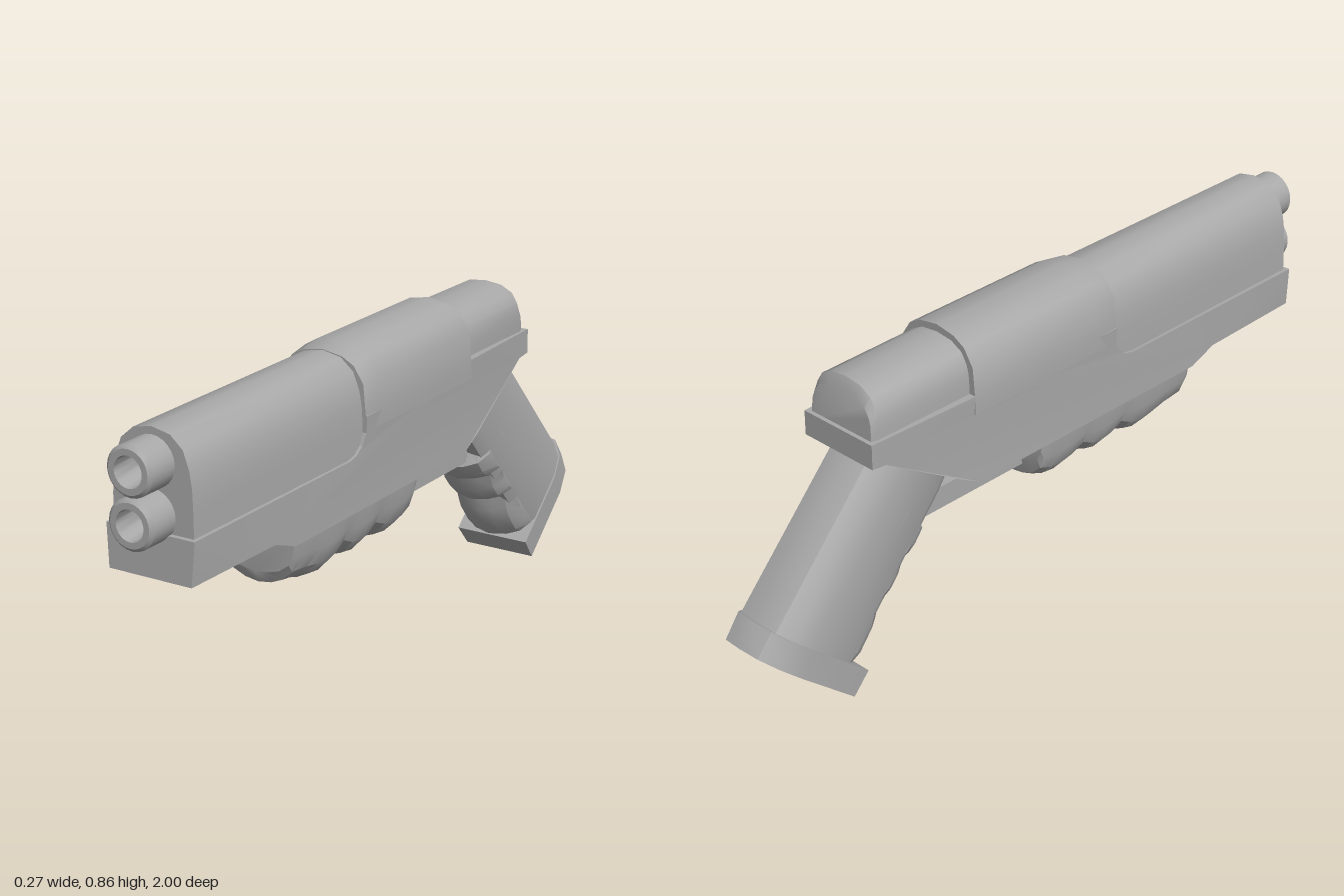
import * as THREE from 'three';
import { toCreasedNormals } from 'three/addons/utils/BufferGeometryUtils.js';

const grey = new THREE.MeshStandardMaterial({ color: 0xa8a8a8 });
grey.name = 'grey';

function part(name, geometry, crease = 0.6) {
  const mesh = new THREE.Mesh(toCreasedNormals(geometry, crease), grey);
  mesh.name = name;
  return mesh;
}

// Skin a mirrored outline through stations.
// Station: [z0, y0, z1, y1, halfWidth]; outline point: [share of width, share of the way from 0 to 1].
function loft(stations, half) {
  const mirrored = half.filter(([k]) => k > 0).reverse().map(([k, t]) => [-k, t]);
  const outline = [...half, ...mirrored];
  const rings = stations.map(([z0, y0, z1, y1, w]) =>
    outline.map(([k, t]) => [k * w, y0 + (y1 - y0) * t, z0 + (z1 - z0) * t]));
  const n = outline.length;
  const tris = [];
  for (let s = 0; s < rings.length - 1; s++) {
    for (let i = 0; i < n; i++) {
      const j = (i + 1) % n;
      const a = rings[s][i], b = rings[s][j], c = rings[s + 1][j], d = rings[s + 1][i];
      tris.push([a, b, c], [a, c, d]);
    }
  }
  const first = rings[0], last = rings[rings.length - 1];
  for (let i = 1; i < n - 1; i++) {
    tris.push([first[0], first[i + 1], first[i]], [last[0], last[i], last[i + 1]]);
  }
  // Turn the corners round if the solid came out inside out
  let volume = 0;
  for (const [a, b, c] of tris) {
    volume += a[0] * (b[1] * c[2] - b[2] * c[1])
      + a[1] * (b[2] * c[0] - b[0] * c[2])
      + a[2] * (b[0] * c[1] - b[1] * c[0]);
  }
  if (volume < 0) tris.forEach((t) => t.reverse());
  const geometry = new THREE.BufferGeometry();
  geometry.setAttribute('position', new THREE.Float32BufferAttribute(tris.flat(2), 3));
  return geometry;
}

// Side profile in (z, y), given thickness along x by a width rule
function sideExtrude(profile, widthAt) {
  const shape = new THREE.Shape(profile.map(([z, y]) => new THREE.Vector2(z, y)));
  const geometry = new THREE.ExtrudeGeometry(shape, { depth: 2, bevelEnabled: false });
  geometry.translate(0, 0, -1).rotateY(-Math.PI / 2);
  const p = geometry.attributes.position;
  for (let i = 0; i < p.count; i++) {
    p.setX(i, Math.sign(p.getX(i)) * widthAt(p.getY(i), p.getZ(i)));
  }
  return geometry;
}

const ARCH = [[1, 0], [0.99, 0.3], [0.97, 0.5], [0.91, 0.66], [0.76, 0.84], [0.45, 0.96], [0, 1]];

export function createModel() {
  const model = new THREE.Group();
  model.name = 'toyBlaster';

  // Frame with a rounded step up behind the slide
  const frame = [
    [0.925, 0.6], [0.27, 0.6], [0.24, 0.607], [0.215, 0.625], [0.2, 0.655], [0.2, 0.7],
    [-0.32, 0.7], [-0.32, 0.713], [-0.655, 0.713], [-0.655, 0.645], [-0.61, 0.64],
    [-0.37, 0.493], [-0.3, 0.455], [0.517, 0.455], [0.6, 0.487], [0.93, 0.487],
  ];
  model.add(part('frame', sideExtrude(frame, (y, z) => {
    if (z < -0.5) return 0.12;
    if (z > 0.9) return y < 0.55 ? 0.119 : 0.127;
    return 0.128 + 0.005 * THREE.MathUtils.smoothstep(y, 0.6, 0.7);
  }), 0.3));

  // Arched upper parts
  model.add(part('frontSlide', loft([
    [0.912, 0.59, 0.908, 0.852, 0.116],
    [0.15, 0.59, 0.15, 0.852, 0.121],
  ], ARCH)));
  model.add(part('middleBody', loft([
    [0.2, 0.66, 0.2, 0.854, 0.129],
    [0.13, 0.66, 0.13, 0.866, 0.133],
    [-0.32, 0.66, -0.32, 0.866, 0.133],
  ], [[1, 0], [1, 0.2], [0.94, 0.63], [0.72, 0.85], [0.45, 0.95], [0, 1]])));
  model.add(part('rearSlide', loft([
    [-0.28, 0.69, -0.28, 0.846, 0.114],
    [-0.625, 0.69, -0.622, 0.844, 0.112],
    [-0.645, 0.69, -0.637, 0.815, 0.106],
  ], ARCH)));

  // Two hollow barrels
  const barrelProfile = [
    [0.065, 0], [0.065, 0.112], [0.056, 0.12], [0.04, 0.12], [0.037, 0.03], [0, 0.03],
  ].map(([r, h]) => new THREE.Vector2(r, h));
  [['upperBarrel', 0.768], ['lowerBarrel', 0.638]].forEach(([name, y]) => {
    const barrel = part(name, new THREE.LatheGeometry(barrelProfile, 24).rotateX(Math.PI / 2));
    barrel.position.set(0, y, 0.88);
    model.add(barrel);
  });

  // Scalloped fore grip
  const foreBottom = [
    [0.51, 0.36], [0.495, 0.328], [0.43, 0.318], [0.38, 0.302], [0.335, 0.296], [0.295, 0.308],
    [0.26, 0.337], [0.22, 0.31], [0.18, 0.3], [0.145, 0.31], [0.11, 0.337], [0.065, 0.31],
    [0.024, 0.3], [-0.02, 0.307], [-0.056, 0.327], [-0.067, 0.375],
  ];
  model.add(part('foreGrip', loft(
    foreBottom.map(([z, y]) => [z, y, z, 0.47, 0.121]),
    [[0, 0], [0.32, 0.04], [0.6, 0.14], [0.84, 0.33], [0.95, 0.6], [1, 1]],
  ), 0.5));

  // Bar from the fore grip to the rear grip
  const bar = [
    [-0.05, 0.367], [-0.05, 0.47], [-0.25, 0.47], [-0.25, 0.452], [-0.29, 0.43],
    [-0.36, 0.43], [-0.375, 0.5], [-0.42, 0.5], [-0.48, 0.367],
  ];
  model.add(part('triggerBar', sideExtrude(bar, () => 0.045), 0.3));

  // Raked grip, built upright: y runs down its length, -z to its back
  const grip = new THREE.Group();
  grip.name = 'grip';
  grip.position.set(0, 0.493, -0.372);
  grip.rotation.x = 0.72;
  const station = (u, front, back, w) => [-front, -u, -back, -u, w];

  grip.add(part('gripBody', loft([
    station(-0.06, 0.01, 0.27, 0.103),
    station(0.054, 0, 0.288, 0.104),
    station(0.54, 0, 0.299, 0.107),
  ], [[0.8, 0], [1, 0.12], [1, 0.62], [0.88, 0.83], [0.6, 0.96], [0, 1]])));

  const fingers = [
    [0.13, 0], [0.151, -0.046], [0.193, -0.049], [0.22, -0.042], [0.24, -0.027],
    [0.283, -0.044], [0.325, -0.044], [0.345, -0.034], [0.362, -0.016],
    [0.4, -0.04], [0.432, -0.052], [0.5, -0.056], [0.54, -0.036],
  ];
  grip.add(part('fingerRests', loft(
    fingers.map(([u, v]) => station(u, v, 0.1, 0.105)),
    [[0, 0], [0.4, 0.06], [0.75, 0.2], [0.96, 0.45], [1, 1]],
  ), 0.5));

  grip.add(part('gripBase', loft([
    station(0.53, -0.046, 0.311, 0.112),
    station(0.605, -0.05, 0.307, 0.108),
  ], [[1, 0], [1, 0.62], [0.88, 0.83], [0.55, 0.97], [0, 1]]), 0.5));
  model.add(grip);

  return model;
}
